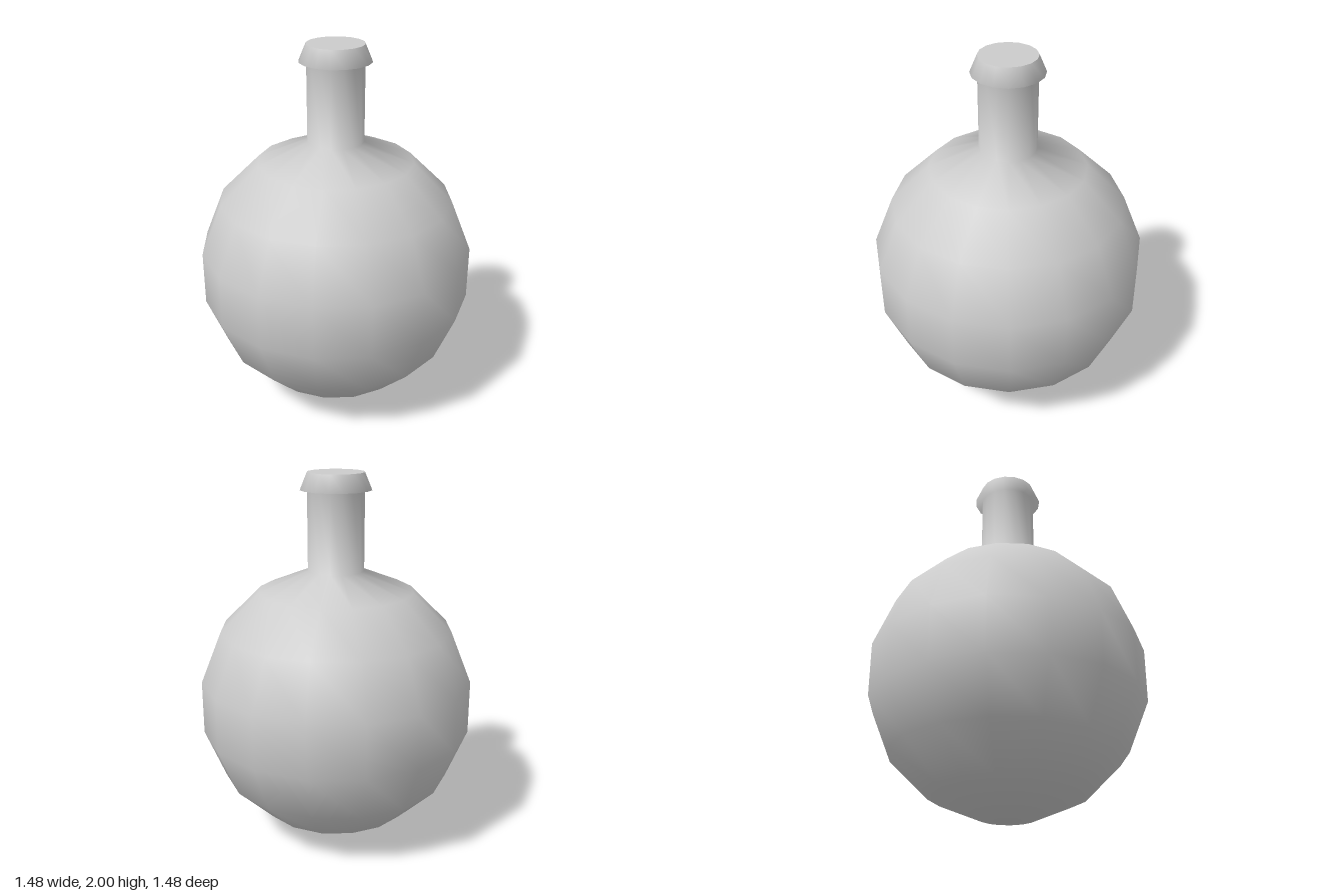
import * as THREE from 'three';

const SIDES = 16;

export function createModel() {
  const group = new THREE.Group();
  const glass = new THREE.MeshStandardMaterial({ color: 0xcccccc });
  glass.name = 'light grey';

  // Round body, neck and flared lip turned as one smooth profile [radius, height]
  const profile = [
    [0, 0], [0.15, 0.02], [0.418, 0.133], [0.627, 0.34], [0.738, 0.61],
    [0.738, 0.9], [0.627, 1.173], [0.418, 1.38], [0.152, 1.487],
    [0.152, 1.91], [0.19, 1.91], [0.152, 2],
  ].map(([r, y]) => new THREE.Vector2(r, y));
  const flask = new THREE.Mesh(new THREE.LatheGeometry(profile, SIDES), glass);
  flask.name = 'flaskBody';
  group.add(flask);

  // Flat disc closing the mouth
  const mouth = new THREE.Mesh(new THREE.CircleGeometry(0.152, SIDES), glass);
  mouth.name = 'mouthCap';
  mouth.rotation.x = -Math.PI / 2;
  mouth.position.y = 2;
  group.add(mouth);

  return group;
}
